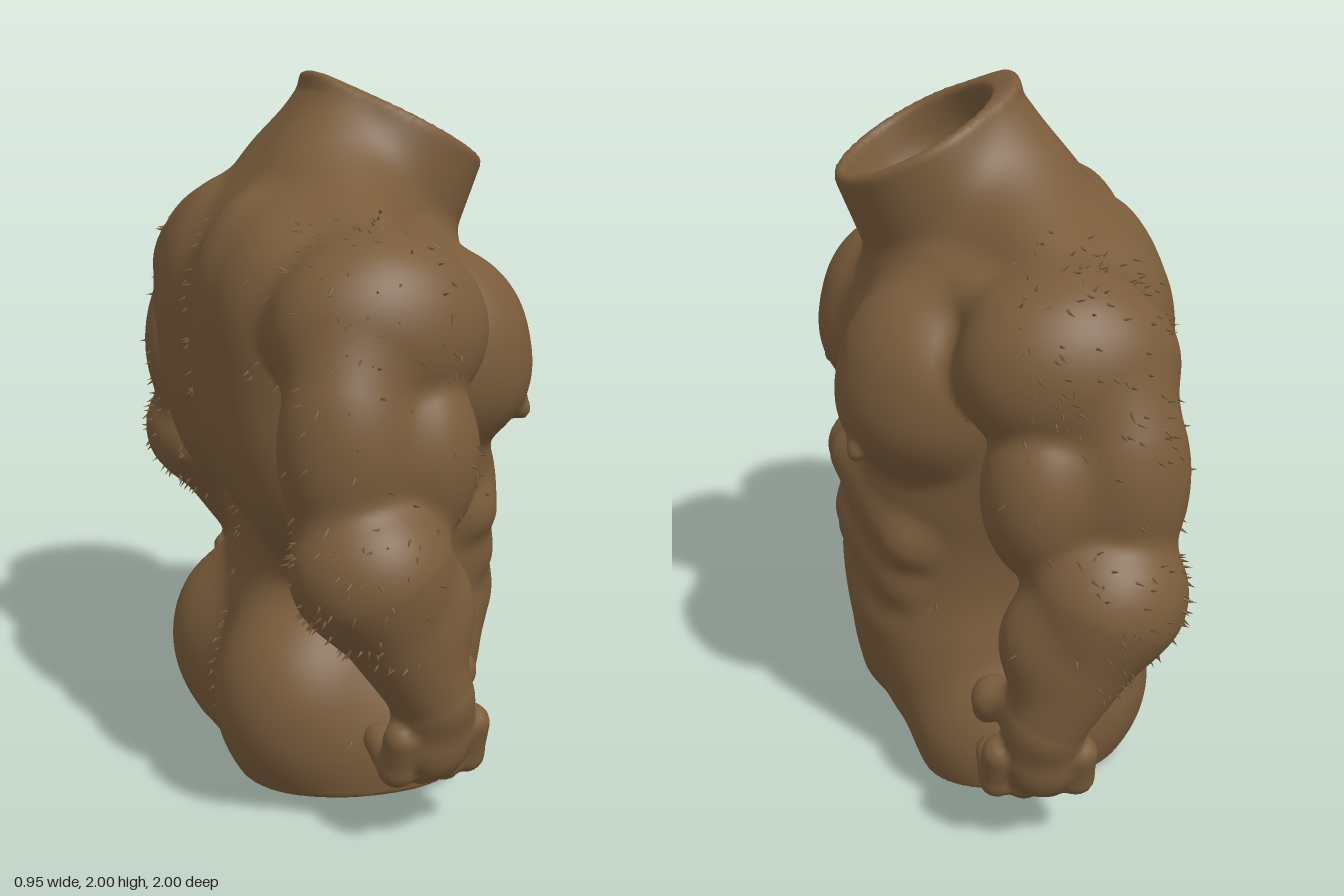
import * as THREE from 'three';
import { mergeGeometries } from 'three/addons/utils/BufferGeometryUtils.js';

const skin = new THREE.MeshStandardMaterial({ color: 0x7a5c3b });
skin.name = 'brownSkin';

// Smooth union and smooth intersection of two distances
const smin = (a, b, k) => {
  const h = Math.max(k - Math.abs(a - b), 0) / k;
  return Math.min(a, b) - h * h * k * 0.25;
};
const smax = (a, b, k) => -smin(-a, -b, k);
const length = (x, y, z) => Math.sqrt(x * x + y * y + z * z);

// Ellipsoid muscle: centre, radii, blend
const ball = (cx, cy, cz, rx, ry, rz, k = 0.04) => ({
  k,
  d(x, y, z) {
    const a = (x - cx) / rx, b = (y - cy) / ry, c = (z - cz) / rz;
    const k0 = length(a, b, c) + 1e-6, k1 = length(a / rx, b / ry, c / rz) + 1e-6;
    return k0 * (k0 - 1) / k1;
  },
});

// Tapered limb between two points
const limb = (a, b, ra, rb, k = 0.04) => {
  const [ux, uy, uz] = b.map((v, i) => v - a[i]), uu = ux * ux + uy * uy + uz * uz;
  return {
    k,
    d(x, y, z) {
      const px = x - a[0], py = y - a[1], pz = z - a[2];
      const t = Math.min(1, Math.max(0, (px * ux + py * uy + pz * uz) / uu));
      return length(px - ux * t, py - uy * t, pz - uz * t) - (ra + (rb - ra) * t);
    },
  };
};

const blend = (start, parts, x, y, z) => {
  let d = start;
  for (const m of parts) d = smin(d, m.d(x, y, z), m.k);
  return d;
};

// Wraps a quad skin around the zero level of a field; owner() sorts the faces into parts
function sculpt(field, owner, parts, lo, hi, h) {
  const n = lo.map((v, i) => Math.ceil((hi[i] - v) / h) + 1);
  const step = [1, n[0], n[0] * n[1]];
  const val = new Float32Array(n[0] * n[1] * n[2]);
  const at = (i, j, k) => i + j * step[1] + k * step[2];
  for (let k = 0; k < n[2]; k++) for (let j = 0; j < n[1]; j++) for (let i = 0; i < n[0]; i++)
    val[at(i, j, k)] = field(lo[0] + i * h, lo[1] + j * h, lo[2] + k * h);

  const cell = new Int32Array(val.length).fill(-1), pos = [], nor = [], own = [];
  const index = parts.map(() => []);
  const e = 0.006;
  for (let k = 0; k < n[2] - 1; k++) for (let j = 0; j < n[1] - 1; j++) for (let i = 0; i < n[0] - 1; i++) {
    const c = at(i, j, k), sum = [0, 0, 0];
    if (Math.abs(val[c]) > 8 * h) continue;
    let hits = 0;
    for (let m = 0; m < 8; m++) for (let a = 0; a < 3; a++) {
      if (m >> a & 1) continue;
      const o = [m & 1, m >> 1 & 1, m >> 2 & 1];
      const q = c + o[0] + o[1] * step[1] + o[2] * step[2];
      const v0 = val[q], v1 = val[q + step[a]];
      if (v0 < 0 === v1 < 0) continue;
      o[a] = v0 / (v0 - v1);
      for (let b = 0; b < 3; b++) sum[b] += o[b];
      hits++;
    }
    if (!hits) continue;
    cell[c] = own.length;
    const [x, y, z] = [i, j, k].map((v, a) => lo[a] + (v + sum[a] / hits) * h);
    pos.push(x, y, z);
    own.push(owner(x, y, z));
    const g = new THREE.Vector3(
      field(x + e, y, z) - field(x - e, y, z),
      field(x, y + e, z) - field(x, y - e, z),
      field(x, y, z + e) - field(x, y, z - e)).normalize();
    nor.push(g.x, g.y, g.z);
  }
  for (let k = 1; k < n[2] - 1; k++) for (let j = 1; j < n[1] - 1; j++) for (let i = 1; i < n[0] - 1; i++) {
    const c = at(i, j, k);
    for (let a = 0; a < 3; a++) {
      const inside = val[c] < 0;
      if (inside === val[c + step[a]] < 0) continue;
      const b = step[(a + 1) % 3], d = step[(a + 2) % 3];
      const q = [cell[c - b - d], cell[c - d], cell[c], cell[c - b]];
      if (Math.min(...q) < 0) continue;
      if (!inside) q.reverse();
      index[own[q[0]]].push(q[0], q[1], q[2], q[0], q[2], q[3]);
    }
  }
  const position = new THREE.Float32BufferAttribute(pos, 3);
  const normal = new THREE.Float32BufferAttribute(nor, 3);
  return index.map(list => new THREE.BufferGeometry()
    .setAttribute('position', position).setAttribute('normal', normal).setIndex(list));
}

// Trunk sections every 0.15 in height: front x, back x, half width
const trunk = new THREE.CatmullRomCurve3([
  [0.25, -0.35, 0.5], [0.345, -0.38, 0.52], [0.4, -0.37, 0.49], [0.425, -0.33, 0.455], [0.42, -0.3, 0.435],
  [0.43, -0.31, 0.45], [0.43, -0.35, 0.49], [0.41, -0.4, 0.53], [0.42, -0.43, 0.55], [0.4, -0.44, 0.55],
  [0.32, -0.42, 0.48], [0.18, -0.33, 0.33], [0.06, -0.2, 0.18], [0, -0.08, 0.1],
].map(p => new THREE.Vector3(...p)), false, 'catmullrom', 0.5);
const section = new THREE.Vector3();

// Neck axis: centre of the opening and its tilt
const neckC = [0.2, 1.862], neckN = [0.462, 0.887];
const onNeck = s => [neckC[0] + neckN[0] * s, neckC[1] + neckN[1] * s, 0];
const cavity = limb(onNeck(-0.08), onNeck(0.3), 0.225, 0.225);

const torsoMuscles = [
  limb(onNeck(-0.45), onNeck(0.3), 0.31, 0.235, 0.09),                   // neck
  limb([-0.06, 1.67, 0.15], [-0.12, 1.45, 0.6], 0.15, 0.14, 0.12),       // trapezius
  limb([0.24, 1.47, 0.07], [0.06, 1.5, 0.55], 0.06, 0.06, 0.09),         // collarbone
  ball(-0.24, 1.42, 0.3, 0.2, 0.24, 0.25, 0.1),                          // shoulder blade
  ball(-0.2, 1.13, 0.34, 0.23, 0.42, 0.22, 0.14),                        // side of the back
  ball(-0.3, 1.24, 0.17, 0.165, 0.43, 0.16, 0.08),                       // beside the spine
  ball(-0.19, 0.24, 0.25, 0.25, 0.3, 0.265, 0.08),                       // buttock
  ball(0.18, 1.25, 0.285, 0.28, 0.29, 0.285, 0.035),                     // chest
  ball(0.22, 1.17, 0.28, 0.24, 0.2, 0.25, 0.06),                         // lower chest
  ball(0.43, 1.07, 0.375, 0.022, 0.03, 0.03, 0.035),                     // nipple
  limb([0.38, 0.91, 0.03], [0.27, 0.78, 0.33], 0.095, 0.1, 0.045),       // rib arch
  limb([0.365, 0.69, 0.05], [0.29, 0.64, 0.28], 0.09, 0.09, 0.06),       // middle abdomen
  limb([0.29, 0.5, 0.17], [0.29, 0.22, 0.03], 0.13, 0.1, 0.07),          // lower abdomen
  ball(0.02, 0.13, 0.35, 0.25, 0.26, 0.18, 0.07),                        // hip
];

function torsoField(x, y, z) {
  const az = Math.abs(z);
  const s = trunk.getPoint(Math.min(1, Math.max(0, y / 1.95)), section);
  const depth = (s.x - s.y) / 2, mid = (s.x + s.y) / 2;
  const q = (Math.abs((x - mid) / depth) ** 2.4 + (az / s.z) ** 2.4) ** (1 / 2.4);
  let d = blend((q - 1) * Math.min(depth, s.z), torsoMuscles, x, y, az);
  const top = (x - neckC[0]) * neckN[0] + (y - neckC[1]) * neckN[1];
  d = smax(d, top, 0.025);                       // tilted neck opening
  d = smax(d, -cavity.d(x, y, z), 0.025);        // hollow in the neck
  return smax(d, 0.07 * z * z - y, 0.015);       // cut underside
}

const armMuscles = [
  ball(-0.1, 1.37, 0.62, 0.29, 0.25, 0.215, 0.03),                       // shoulder
  ball(-0.03, 1.06, 0.69, 0.17, 0.25, 0.175, 0.03),                      // front upper arm
  ball(-0.22, 1.1, 0.72, 0.18, 0.3, 0.17, 0.06),                         // back upper arm
  ball(-0.18, 0.8, 0.78, 0.21, 0.2, 0.185, 0.05),                        // elbow
  limb([-0.17, 0.78, 0.79], [-0.015, 0.44, 0.805], 0.185, 0.108, 0.05),  // forearm
  ball(-0.03, 0.66, 0.77, 0.135, 0.17, 0.13, 0.05),                      // front forearm
  ball(-0.01, 0.35, 0.795, 0.11, 0.15, 0.085, 0.04),                     // palm
  limb([0.02, 0.46, 0.76], [0.1, 0.44, 0.67], 0.06, 0.06, 0.04),         // thumb
  limb([0.1, 0.44, 0.67], [0.11, 0.385, 0.63], 0.058, 0.045, 0.02),
];
for (let i = 0; i < 4; i++) {                                            // curled fingers
  const x = 0.105 - 0.07 * i, y = 0.23 + 0.006 * Math.abs(i - 1), z = 0.785 + 0.012 * i;
  armMuscles.push(limb([x, 0.34, z], [x, y, z - 0.035], 0.05, 0.05, 0.015));
  armMuscles.push(limb([x, y, z - 0.035], [x, y + 0.025, 0.66], 0.05, 0.045, 0.012));
}
const armField = (x, y, z) => blend(1, armMuscles, x, y, Math.abs(z));

// The shoulder flows into the torso, while the arm below hangs free of it
function bodyField(x, y, z) {
  const torso = torsoField(x, y, z);
  if (Math.abs(z) < 0.3) return torso;
  return smin(torso, armField(x, y, z), 0.015 + 0.05 * THREE.MathUtils.smoothstep(y, 1.15, 1.4));
}

// Scatters small hair tufts; density(p, n) gives the chance at each vertex
function tufts({ attributes: { position, normal } }, density) {
  let seed = 11;
  const random = () => (seed = (seed * 16807) % 2147483647) / 2147483647;
  const cone = new THREE.ConeGeometry(0.006, 0.032, 4, 1, true).translate(0, 0.006, 0);
  const up = new THREE.Vector3(0, 1, 0), one = new THREE.Vector3(1, 1, 1), list = [];
  const p = new THREE.Vector3(), n = new THREE.Vector3();
  for (let i = 0; i < position.count; i++) {
    p.fromBufferAttribute(position, i);
    n.fromBufferAttribute(normal, i);
    if (random() > density(p, n)) continue;
    n.add(new THREE.Vector3(random() - 0.8, random() - 1, random() - 0.5)).normalize();
    const turn = new THREE.Quaternion().setFromUnitVectors(up, n);
    list.push(cone.clone().applyMatrix4(new THREE.Matrix4().compose(p, turn, one)));
  }
  return mergeGeometries(list);
}

function hairiness(p, n) {
  const az = Math.abs(p.z), out = n.z * Math.sign(p.z);
  if (az < 0.035) return p.x < -0.25 && p.y > 0.1 && p.y < 1.6 ? 0.08 : 0;     // spine
  if (az < 0.55 && p.y < 0.9) return p.y > 0.06 && az > 0.4 && out > 0.8 ? 0.004 : 0; // flanks
  if (p.y > 1.2) return az > 0.45 && p.x < 0.05 && out + n.y > 0.5 ? 0.04 : 0; // shoulders
  if (p.y < 0.55 || az < 0.6 || (out < 0.2 && n.x > -0.5)) return 0;
  return p.y < 0.95 ? (p.x < -0.1 ? 0.045 : 0.01) : 0.01;                      // arms
}

export function createModel() {
  const model = new THREE.Group();
  const add = (name, geo) => {
    const mesh = new THREE.Mesh(geo, skin);
    mesh.name = name;
    model.add(mesh);
  };
  // The model faces +x, so its arms hang at either end of z
  const parts = ['torso', 'armAtFront', 'armAtBack'];
  const owner = (x, y, z) => armField(x, y, z) > torsoField(x, y, z) ? 0 : z > 0 ? 1 : 2;
  const skins = sculpt(bodyField, owner, parts, [-0.54, -0.04, -1.03], [0.54, 2.05, 1.03], 0.0145);
  skins.forEach((geo, i) => add(parts[i], geo));
  add('hairTufts', tufts(skins[0], hairiness));
  return model;
}
